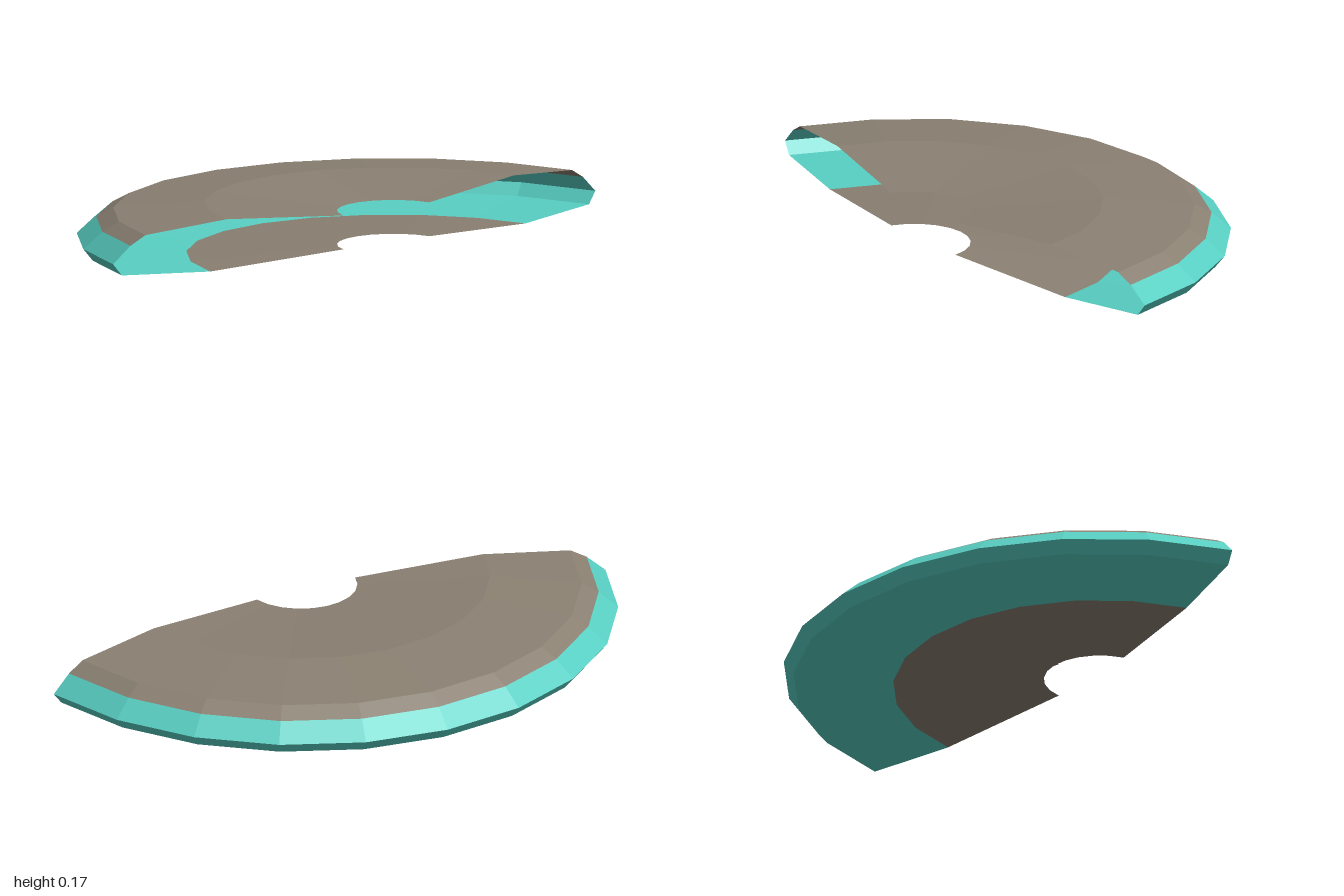
import * as THREE from 'three';

const SWEEP = THREE.MathUtils.degToRad(157.5);
const SEGMENTS = 10;

export function createModel() {
  const makeMaterial = (name, color) => {
    const m = new THREE.MeshStandardMaterial({ color, flatShading: true, side: THREE.DoubleSide });
    m.name = name;
    return m;
  };
  const taupe = makeMaterial('taupe', 0x8a8072);
  const teal = makeMaterial('teal', 0x58cec2);

  const model = new THREE.Group();
  model.name = 'brokenDisc';

  // Partial revolve of a [radius, height] profile, open at both cut ends
  const addBand = (name, profile, material) => {
    const points = profile.map(([r, y]) => new THREE.Vector2(r, y));
    const mesh = new THREE.Mesh(
      new THREE.LatheGeometry(points, SEGMENTS, Math.PI / 2, SWEEP), material);
    mesh.name = name;
    mesh.position.set(-0.04, 0, 0.518);
    model.add(mesh);
  };

  // Dished underside around the hole
  addBand('innerUnderside', [[0.185, 0.03], [0.68, 0]], taupe);
  // Coloured rim, from the lower ridge round the sharp outer edge
  addBand('outerRim', [[0.68, 0], [1.008, 0.016], [1.04, 0.056], [0.976, 0.112]], teal);
  // Top shell, bevelled at the rim and dished towards the hole
  addBand('topShell', [[0.976, 0.112], [0.92, 0.143], [0.62, 0.169], [0.185, 0.143]], taupe);

  return model;
}
